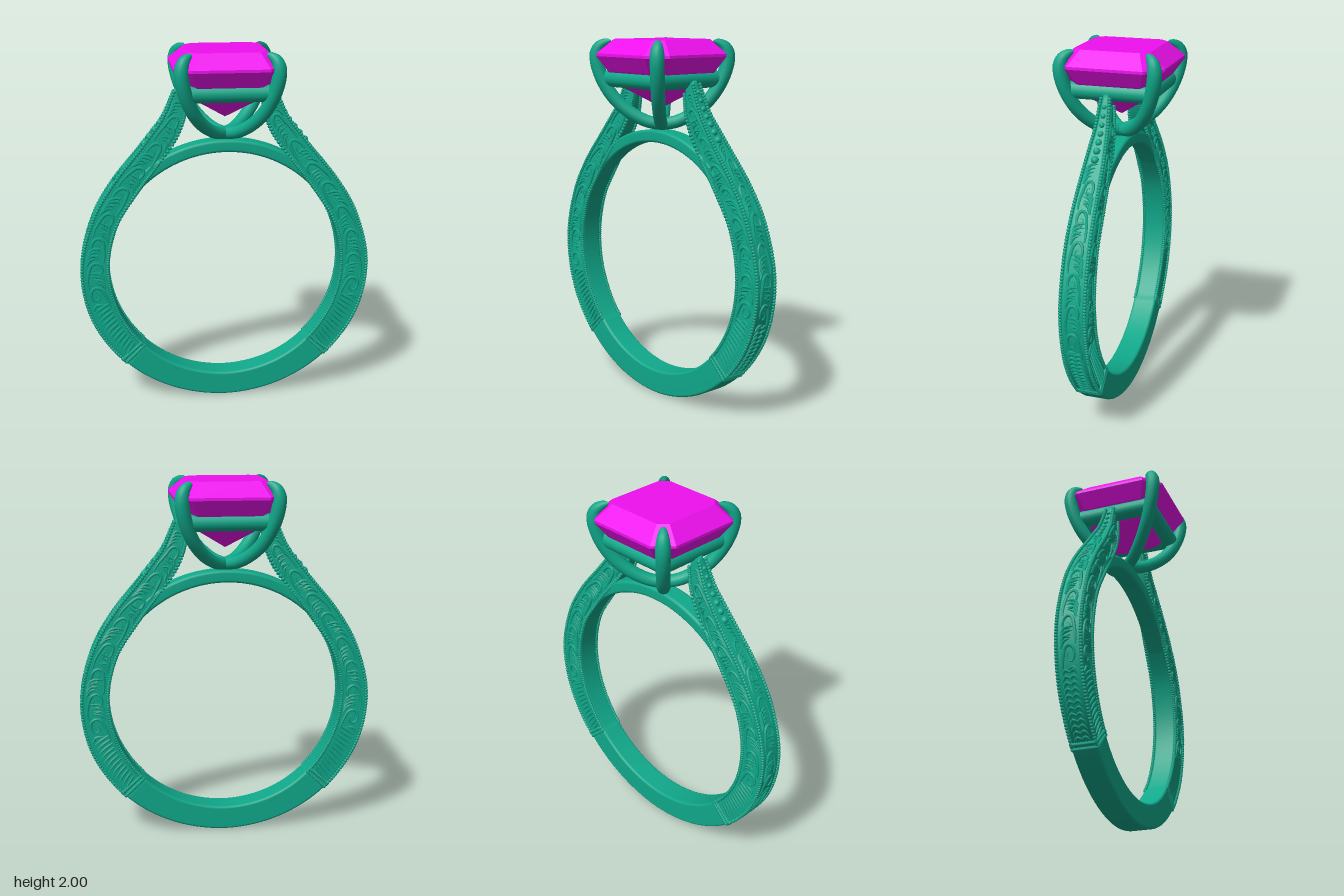
import * as THREE from 'three';
import { mergeGeometries } from 'three/addons/utils/BufferGeometryUtils.js';
import { ConvexGeometry } from 'three/addons/geometries/ConvexGeometry.js';

const V = (x, y, z = 0) => new THREE.Vector3(x, y, z);
const CY = 0.79; // centre height of the finger hole
const START = 0.262, HATCH_END = 0.42; // engraved stretch, as fraction of half the band

// Half of the band from the bottom up: inner edge, outer edge and half depth
const half = [[-90, 0.787, 0.069], [-67, 0.79, 0.069], [-45, 0.8, 0.069], [-22, 0.81, 0.07], [0, 0.806, 0.07], [22, 0.79, 0.068]]
  .map(([deg, r, hw]) => {
    const a = deg * Math.PI / 180, c = Math.cos(a), s = Math.sin(a);
    return [0.65 * c, CY + 0.65 * s, r * c, CY + r * s, hw];
  });
half.push([0.48, 1.23, 0.624, 1.275, 0.063], [0.36, 1.385, 0.466, 1.47, 0.053], [0.275, 1.5, 0.4, 1.555, 0.045],
  [0.228, 1.6, 0.344, 1.63, 0.037], [0.2, 1.73, 0.268, 1.795, 0.024]);
const mirrored = f => new THREE.CatmullRomCurve3([
  ...half.slice(1).reverse().map(p => f(p).multiply(V(-1, 1, 1))), ...half.map(f)]);
const inner = mirrored(p => V(p[0], p[1]));
const outer = mirrored(p => V(p[2], p[3], p[4])); // z carries the half depth
outer.arcLengthDivisions = 800;

// Point of the band: u along it (-1..1), s from inner to outer edge, w across the depth
function station(u) {
  const t = outer.getUtoTmapping((u + 1) / 2);
  const o = outer.getPoint(t), hw = o.z;
  o.z = 0;
  return { i: inner.getPoint(t), o, hw };
}
function bandPoint(u, s, w) {
  const { i, o, hw } = station(u);
  const p = i.lerp(o, (s + 1) / 2);
  p.z = w * hw;
  return p;
}

function roundedRect(hu, hv, r) {
  const pts = [];
  [[1, 1], [-1, 1], [-1, -1], [1, -1]].forEach(([a, b], k) => {
    for (let j = 0; j <= 4; j++) {
      const t = (k + j / 4) * Math.PI / 2;
      pts.push(new THREE.Vector2(a * (hu - r) + r * Math.cos(t), b * (hv - r) + r * Math.sin(t)));
    }
  });
  return pts;
}

// Band swept in loops, slightly slimmer where it is engraved
function bandGeometry() {
  const pos = [], idx = [], n = 240, m = 20;
  for (let k = 0; k <= n + 2; k++) {
    const u = THREE.MathUtils.clamp((k - 1) / n * 2 - 1, -1, 1);
    const { i, o, hw } = station(u);
    const size = k === 0 || k === n + 2 ? 0.001 : 1;
    const cut = Math.abs(u) > START ? 0.006 : 0;
    const dir = o.clone().sub(i), h = dir.length() / 2;
    dir.normalize();
    const mid = i.lerp(o, 0.5);
    for (const q of roundedRect(h - cut * 0.7, hw - cut, 0.014)) {
      const p = mid.clone().addScaledVector(dir, q.x * size);
      pos.push(p.x, p.y, q.y * size);
    }
  }
  for (let k = 0; k < n + 2; k++) for (let j = 0; j < m; j++) {
    const a = k * m + j, b = k * m + (j + 1) % m;
    idx.push(a, a + m, b, b, a + m, b + m);
  }
  const g = new THREE.BufferGeometry();
  g.setAttribute('position', new THREE.Float32BufferAttribute(pos, 3));
  g.setIndex(idx);
  g.computeVertexNormals();
  return g;
}

// Tube whose radius follows a rule along its length
function taperedTube(points, radius, n = 12, sides = 5) {
  const curve = new THREE.CatmullRomCurve3(points);
  const g = new THREE.TubeGeometry(curve, n, 1, sides), p = g.attributes.position, v = V(0, 0);
  for (let k = 0; k < p.count; k++) {
    const t = Math.floor(k / (sides + 1)) / n, c = curve.getPointAt(t);
    v.fromBufferAttribute(p, k).sub(c).multiplyScalar(radius(t)).add(c);
    p.setXYZ(k, v.x, v.y, v.z);
  }
  return g;
}
const leafRadius = t => 0.001 + 0.0085 * Math.sin(Math.PI * (0.15 + 0.85 * t));

// Hatching and scrollwork of one panel; at(u, b) places it, b running -1..1 across
function engraving(at, end, chevron) {
  const parts = [];
  const stroke = (pts, n) => parts.push(taperedTube(pts.map(([u, b]) => at(u, b)), leafRadius, n));
  for (let u = START + 0.02; u < HATCH_END; u += 0.0125) {
    if (chevron) for (const s of [-1, 1]) stroke([[u, 0], [u + 0.005, s * 0.5], [u - 0.006, s]], 5);
    else stroke([[u + 0.006, -0.9], [u, 0], [u - 0.008, 0.9]], 6);
  }
  let d = 1;
  for (let c = HATCH_END + 0.035; c < end; c += 0.066, d = -d) {
    const spiral = [[c - 0.045, -d * 0.8], [c - 0.028, -d * 0.85]];
    for (let k = 0; k <= 12; k++) {
      const a = -Math.PI / 2 + k * 0.75, r = 1 - k / 14;
      spiral.push([c + 0.025 * r * Math.cos(a), d * (0.15 + 0.8 * r * Math.sin(a))]);
    }
    stroke(spiral, 26);
    for (let k = 0; k < 4; k++) {
      const u = c + 0.014 + k * 0.009;
      stroke([[u, -d * 0.95], [u + 0.016, -d * 0.55], [u + 0.02, d * (0.1 + 0.2 * k)]], 7);
    }
    stroke([[c - 0.036, d * 0.95], [c - 0.026, d * 0.5], [c - 0.03, -d * 0.3]], 7);
  }
  return mergeGeometries(parts);
}

const bead = (p, r) => new THREE.SphereGeometry(r, 6, 4).translate(p.x, p.y, p.z);

export function createModel() {
  const group = new THREE.Group();
  const metal = new THREE.MeshStandardMaterial({ color: 0x10a88a });
  const gem = new THREE.MeshStandardMaterial({ color: 0xee10ee, flatShading: true });
  const add = (name, geo, mat = metal) => {
    const mesh = new THREE.Mesh(geo, mat);
    mesh.name = name;
    group.add(mesh);
  };

  add('band', bandGeometry());

  // Thin arch closing the finger hole under the setting
  const profile = roundedRect(0.034, 0.055, 0.015).map(p => p.set(p.x + 0.686, p.y));
  profile.push(profile[0].clone());
  add('bridge', new THREE.LatheGeometry(profile, 64, -1.05, 2.1).rotateX(-Math.PI / 2).translate(0, CY, 0));

  for (const side of [1, -1]) {
    const label = side > 0 ? 'left' : 'right';
    // Engraved panels on front, back and outer face
    for (const face of [1, -1])
      add(label + (face > 0 ? 'Front' : 'Back') + 'Scrollwork',
        engraving((u, b) => bandPoint(side * u, b * 0.68, face * 0.93), 0.95, false));
    add(label + 'OuterScrollwork', engraving((u, b) => bandPoint(side * u, 0.95, b * 0.62), 0.81, true));

    // Beaded borders along every edge and across the lower end
    const beads = [];
    for (let u = START; u < 0.995; u += 0.0068)
      for (const w of [-0.93, 0.93]) for (const s of [-0.9, 0.93])
        beads.push(bead(bandPoint(side * u, s, w), 0.0105));
    for (let k = -6; k <= 6; k++) for (const u of [START, START + 0.011]) {
      for (const w of [-0.95, 0.95]) beads.push(bead(bandPoint(side * u, k / 6.6, w), 0.0105));
      beads.push(bead(bandPoint(side * u, 0.96, k / 6.6), 0.0105));
    }
    add(label + 'BeadBorders', mergeGeometries(beads));

    // Graduated beads on the shoulder
    const studs = [];
    for (let k = 0; k < 7; k++)
      studs.push(new THREE.SphereGeometry(0.021 - k * 0.0015, 12, 8).translate(
        ...bandPoint(side * (0.855 + k * 0.0195), 0.9, 0).toArray()));
    add(label + 'ShoulderBeads', mergeGeometries(studs));
  }

  // Four claws rising from a common foot and folding over the stone corners
  const path = [[0, 1.54], [0.06, 1.557], [0.13, 1.61], [0.19, 1.69], [0.235, 1.8], [0.252, 1.9], [0.243, 1.955], [0.22, 1.98], [0.195, 1.992]];
  const clawRadius = t => t < 0.84 ? 0.034 + 0.006 * t : 0.039 * Math.sqrt(Math.max(0.001, (1 - t) / 0.16));
  for (const x of [1, -1]) for (const z of [1, -1])
    add('claw', taperedTube(path.map(([d, y]) => V(x * d, y, z * d)), clawRadius, 48, 14));

  // Square gallery rail
  for (let k = 0; k < 4; k++)
    add('galleryRail', new THREE.CylinderGeometry(0.048, 0.048, 0.41, 20).rotateZ(Math.PI / 2)
      .translate(0, 1.79, 0.197).rotateY(k * Math.PI / 2));

  // Step-cut stone with clipped corners: [half width, corner cut, height]
  const pts = [V(0, 1.63, 0)];
  for (const [h, c, y] of [[0.165, 0.04, 1.74], [0.237, 0.065, 1.83], [0.292, 0.09, 1.91], [0.292, 0.09, 1.925], [0.205, 0.045, 2]])
    for (const x of [1, -1]) for (const z of [1, -1])
      pts.push(V(x * h, y, z * (h - c)), V(x * (h - c), y, z * h));
  add('stone', new ConvexGeometry(pts), gem);

  return group;
}
